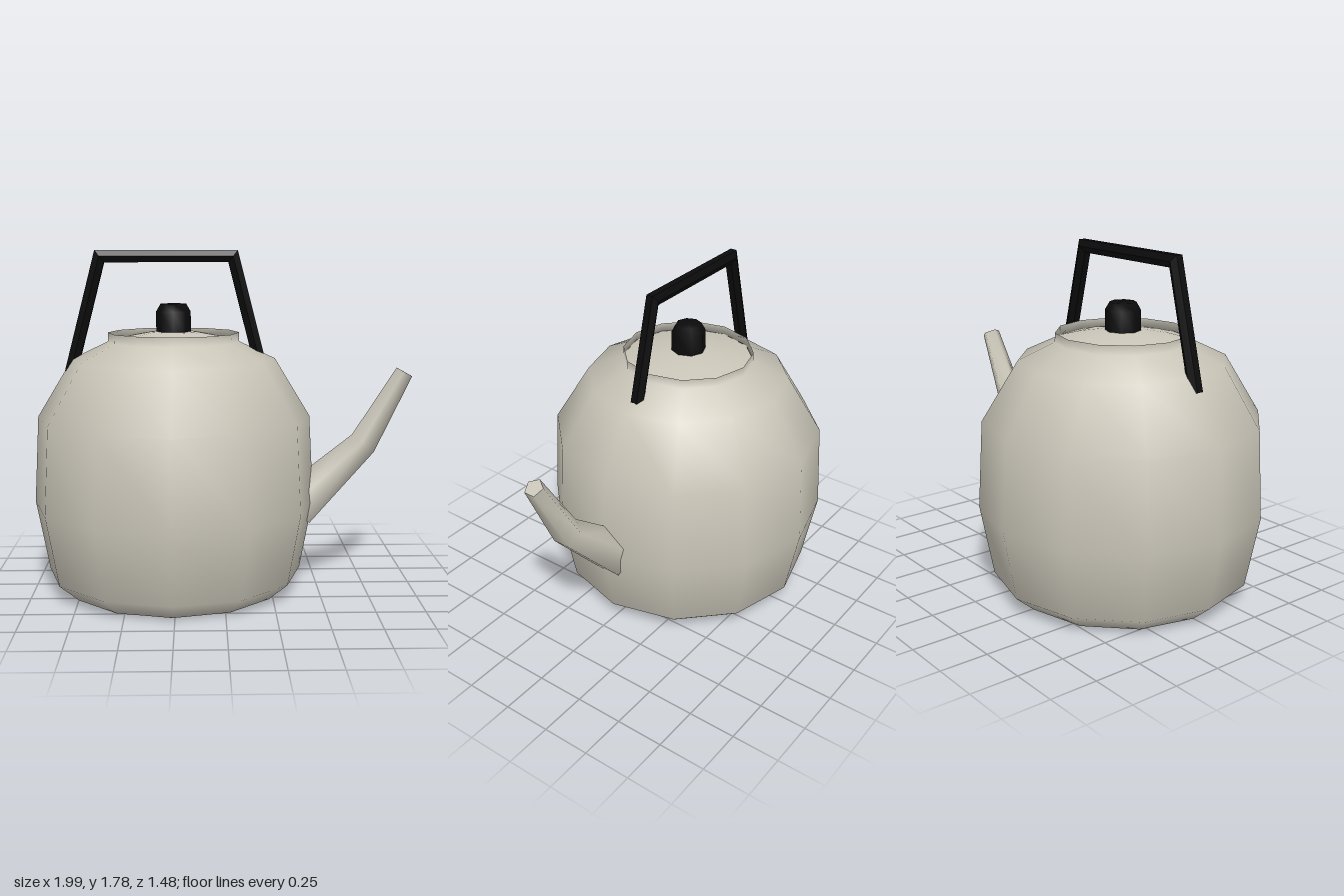
import * as THREE from 'three';

const AXIS_X = -0.26; // vertical axis of the pot

// Tube with mitred joints along a path [x, y, radius] lying in the z = 0 plane
function mitredTube(path, sides, turn, flat) {
  const pos = [], index = [];
  const pts = path.map(([x, y]) => new THREE.Vector2(x, y));
  const dir = pts.slice(1).map((p, i) => p.clone().sub(pts[i]).normalize());
  const addRing = (i) => {
    const before = dir[Math.max(i - 1, 0)], after = dir[Math.min(i, dir.length - 1)];
    const d = before.clone().add(after).normalize();
    const miter = 1 / d.dot(after), r = path[i][2];
    const start = pos.length / 3;
    for (let j = 0; j < sides; j++) {
      const a = turn + (j / sides) * Math.PI * 2, k = Math.cos(a) * r * miter;
      pos.push(pts[i].x - d.y * k, pts[i].y + d.x * k, Math.sin(a) * r);
    }
    return start;
  };
  const rings = path.map((_, i) => addRing(i));
  for (let i = 0; i < rings.length - 1; i++) {
    for (let j = 0; j < sides; j++) {
      const k = (j + 1) % sides;
      const a = rings[i] + j, b = rings[i] + k, c = rings[i + 1] + j, d = rings[i + 1] + k;
      index.push(a, b, c, b, d, c);
    }
  }
  // End caps use their own vertices so their edges stay sharp
  const first = addRing(0), last = addRing(path.length - 1);
  for (let j = 1; j < sides - 1; j++) {
    index.push(first, first + j + 1, first + j, last, last + j, last + j + 1);
  }
  let geo = new THREE.BufferGeometry();
  geo.setAttribute('position', new THREE.Float32BufferAttribute(pos, 3));
  geo.setIndex(index);
  if (flat) geo = geo.toNonIndexed();
  geo.computeVertexNormals();
  return geo;
}

function lathe(profile, sides) {
  return new THREE.LatheGeometry(profile.map(([r, y]) => new THREE.Vector2(r, y)), sides);
}

export function createModel() {
  const group = new THREE.Group();
  const enamel = new THREE.MeshStandardMaterial({ color: 0xc9c5b8, side: THREE.DoubleSide });
  enamel.name = 'warm grey enamel';
  const black = new THREE.MeshStandardMaterial({ color: 0x0b0b0b });
  black.name = 'black';

  const add = (name, geometry, material, x = 0) => {
    const mesh = new THREE.Mesh(geometry, material);
    mesh.name = name;
    mesh.position.x = x;
    group.add(mesh);
  };

  // Twelve-sided pot with a thin upright rim
  add('body', lathe([
    [0, 0], [0.565, 0], [0.67, 0.09], [0.74, 0.46], [0.715, 0.915],
    [0.53, 1.22], [0.343, 1.31], [0.341, 1.357],
  ], 12), enamel, AXIS_X);

  // Shallow domed lid sunk inside the rim
  add('lid', lathe([[0.342, 1.31], [0.24, 1.338], [0.12, 1.36], [0, 1.368]], 12), enamel, AXIS_X);

  // Lid knob with a bevelled top
  add('knob', lathe([[0.09, 1.35], [0.09, 1.465], [0.067, 1.505], [0, 1.505]], 8), black, AXIS_X);

  // Angular carrying handle, hexagonal in section
  add('handle', mitredTube([
    [-0.797, 1.15, 0.036], [-0.64, 1.75, 0.036], [0.05, 1.75, 0.036], [0.19, 1.2, 0.036],
  ], 6, Math.PI / 6, true), black);

  // Bent, tapering five-sided spout
  add('spout', mitredTube([
    [0.384, 0.422, 0.125], [0.745, 0.765, 0.077], [0.956, 1.145, 0.049],
  ], 5, 0, false), enamel);

  return group;
}
